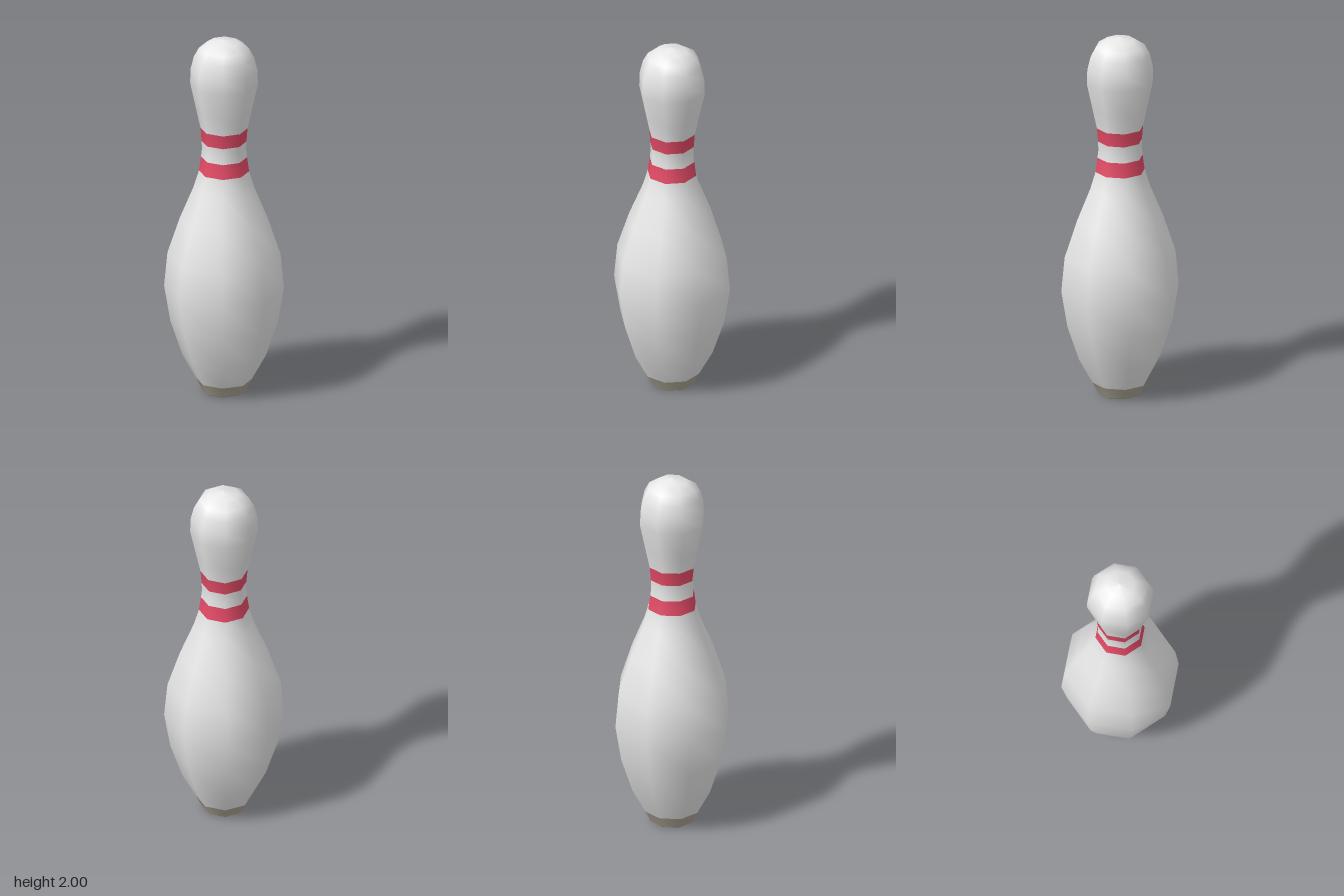
import * as THREE from 'three';

const SIDES = 8;

// Silhouette from the floor to the crown: [radius, height]
const PROFILE = [
  [0.12, 0.005], [0.148, 0.065], [0.222, 0.2], [0.285, 0.39], [0.318, 0.59],
  [0.3, 0.78], [0.234, 0.98], [0.16, 1.16], [0.133, 1.25], [0.122, 1.33],
  [0.117, 1.375], [0.119, 1.42], [0.125, 1.495], [0.148, 1.6], [0.18, 1.75],
  [0.177, 1.83], [0.16, 1.9], [0.133, 1.95], [0.08, 1.985], [0, 2],
];

// Parts as ranges of profile points
const PARTS = [
  ['baseRing', 'base', 0, 1],
  ['body', 'white', 1, 8],
  ['lowerStripe', 'red', 8, 9],
  ['neck', 'white', 9, 11],
  ['upperStripe', 'red', 11, 12],
  ['head', 'white', 12, PROFILE.length - 1],
];

export function createModel() {
  const group = new THREE.Group();
  group.name = 'bowlingPin';

  const material = (name, color) => {
    const m = new THREE.MeshStandardMaterial({ color });
    m.name = name;
    return m;
  };
  const materials = {
    white: material('white', 0xeeeeee),
    red: material('red', 0xe24a65),
    base: material('taupe', 0xaaa392),
  };

  const add = (name, geometry, mat) => {
    const mesh = new THREE.Mesh(geometry, mat);
    mesh.name = name;
    group.add(mesh);
    return mesh;
  };

  // One smooth lathe, cut into bands that keep its continuous normals
  const points = PROFILE.map(([r, y]) => new THREE.Vector2(r, y));
  const lathe = new THREE.LatheGeometry(points, SIDES);
  const n = points.length;
  for (const [name, color, from, to] of PARTS) {
    const index = [];
    for (let i = 0; i < SIDES; i++) {
      for (let j = from; j < to; j++) {
        const a = i * n + j, b = a + n;
        index.push(a, b, a + 1);
        if (j < n - 2) index.push(b + 1, a + 1, b);
      }
    }
    const band = lathe.clone();
    band.setIndex(index);
    // Keep only the vertices this band uses
    add(name, band.toNonIndexed(), materials[color]);
  }

  // Thin foot rim and flat underside
  const rim = new THREE.CylinderGeometry(0.12, 0.113, 0.005, SIDES, 1, true);
  add('footRim', rim, materials.base).position.y = 0.0025;
  const underside = new THREE.CircleGeometry(0.113, SIDES).rotateX(Math.PI / 2);
  add('underside', underside, materials.base);

  return group;
}
